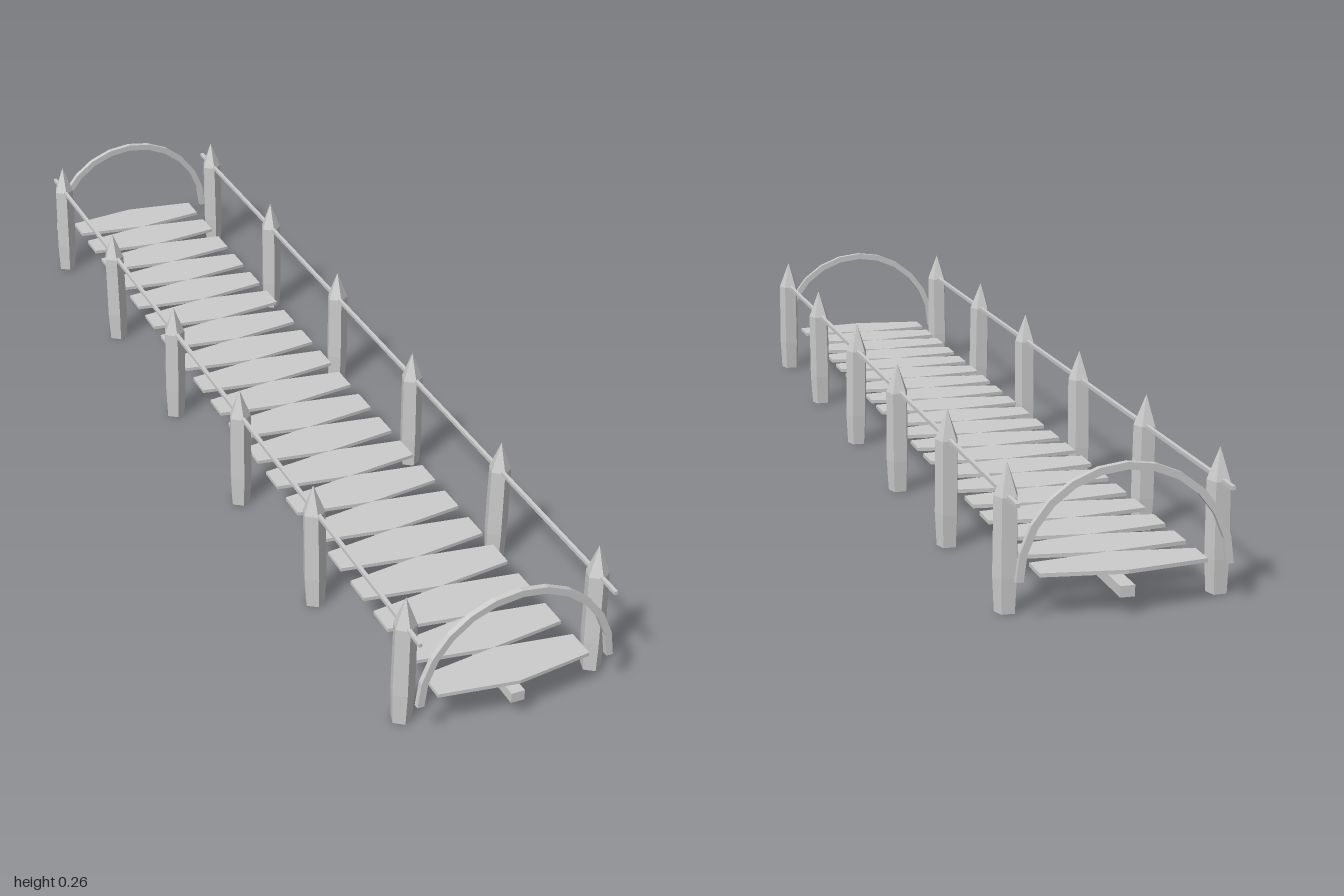
import * as THREE from 'three';

const stone = new THREE.MeshStandardMaterial({ color: 0xcccccc, flatShading: true });
stone.name = 'pale grey';

function add(parent, name, geometry, x = 0, y = 0, z = 0) {
  const mesh = new THREE.Mesh(geometry, stone);
  mesh.name = name;
  mesh.position.set(x, y, z);
  parent.add(mesh);
  return mesh;
}

// Six-sided plank, widest in the middle, so neighbours touch only at their points
function plankGeometry() {
  const points = [[-0.147, -0.029], [0, -0.05], [0.147, -0.029], [0.147, 0.029], [0, 0.05], [-0.147, 0.029]];
  const shape = new THREE.Shape(points.map(([x, y]) => new THREE.Vector2(x, y)));
  return new THREE.ExtrudeGeometry(shape, { depth: 0.007, bevelEnabled: false }).rotateX(-Math.PI / 2);
}

// Faceted half ring with a rectangular section
function archGeometry() {
  const ring = (r) => Array.from({ length: 13 }, (_, i) =>
    new THREE.Vector2(r * Math.cos(i * Math.PI / 12), r * Math.sin(i * Math.PI / 12)));
  const shape = new THREE.Shape([...ring(0.19), ...ring(0.177).reverse()]);
  return new THREE.ExtrudeGeometry(shape, { depth: 0.011, bevelEnabled: false }).translate(0, 0, -0.0055);
}

// Five-sided stake with a tapered foot and a pointed top
function postGeometry() {
  const profile = [[0, 0], [0.0195, 0], [0.0228, 0.062], [0.022, 0.2], [0, 0.258]];
  return new THREE.LatheGeometry(profile.map(([r, y]) => new THREE.Vector2(r, y)), 5);
}

export function createModel() {
  const bridge = new THREE.Group();
  bridge.name = 'footbridge';

  // Walkway
  const plank = plankGeometry();
  for (let i = 0; i < 20; i++) add(bridge, 'plank', plank, 0, 0.077, -0.95 + i * 0.1);
  add(bridge, 'beam', new THREE.BoxGeometry(0.026, 0.02, 1.99), 0, 0.045, 0);

  // Posts lean slightly, each a little differently
  const post = postGeometry();
  const rail = new THREE.BoxGeometry(0.007, 0.007, 1.97);
  for (const side of [-1, 1]) {
    for (let i = 0; i < 6; i++) {
      const stake = add(bridge, 'post', post, side * 0.188, 0.003, -0.922 + i * 0.3688);
      stake.rotation.z = 0.012 * Math.sin(i * 2.3 + side);
      stake.rotation.x = 0.015 * Math.sin(i * 1.7 + 2 * side);
    }
    add(bridge, 'handrail', rail, side * 0.187, 0.204, 0);
  }

  // End arches
  const arch = archGeometry();
  for (const end of [-1, 1]) add(bridge, 'arch', arch, 0, 0.074, end * 0.982);

  return bridge;
}
